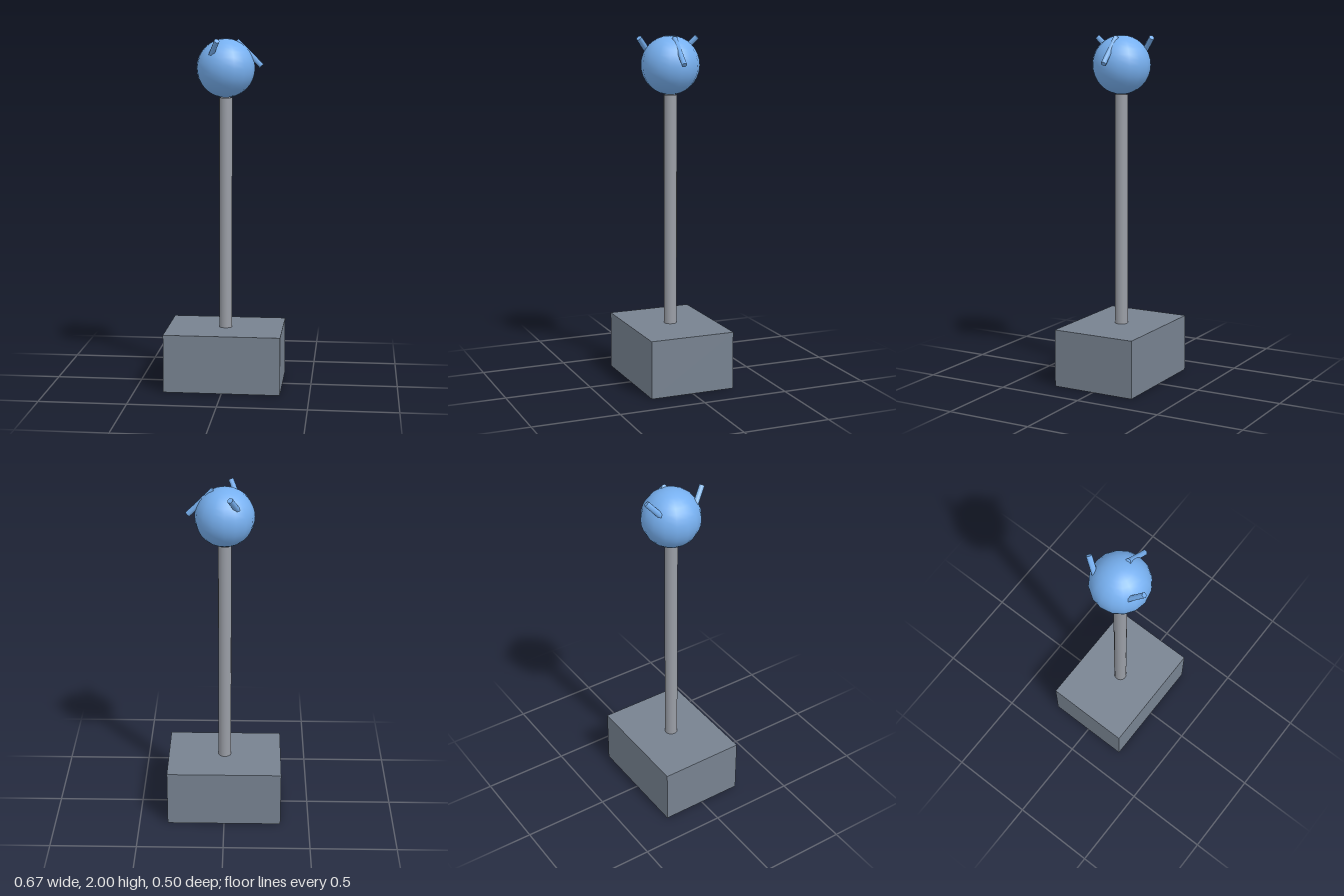
import * as THREE from 'three';

const blue = new THREE.MeshStandardMaterial({ color: 0x77b0f0 });
const slate = new THREE.MeshStandardMaterial({ color: 0x778290 });
const steel = new THREE.MeshStandardMaterial({ color: 0x9a9ea6 });

function part(name, geometry, material, x, y, z) {
  const mesh = new THREE.Mesh(geometry, material);
  mesh.name = name;
  mesh.position.set(x, y, z);
  return mesh;
}

export function createModel() {
  const group = new THREE.Group();
  group.name = 'spikedBallOnPole';

  // Block base, pole and ball stacked on one axis
  group.add(part('base', new THREE.BoxGeometry(2 / 3, 1 / 3, 0.5), slate, 0, 1 / 6, 0));
  group.add(part('pole', new THREE.CylinderGeometry(0.0375, 0.0375, 4 / 3, 16), steel, 0, 1, 0));
  group.add(part('ball', new THREE.SphereGeometry(1 / 6, 16, 16), blue, 0, 11 / 6, 0));

  // Three short pegs around the ball, each tilted 45 degrees
  const pegGeometry = new THREE.CylinderGeometry(1 / 60, 1 / 60, 0.2, 6);
  for (let i = 0; i < 3; i++) {
    const angle = (i * Math.PI * 2) / 3;
    const peg = part('peg' + (i + 1), pegGeometry, blue,
      Math.cos(angle) * 0.1333, 1.9167, Math.sin(angle) * 0.1333);
    peg.rotation.set(0, angle, Math.PI / 4);
    group.add(peg);
  }
  return group;
}
